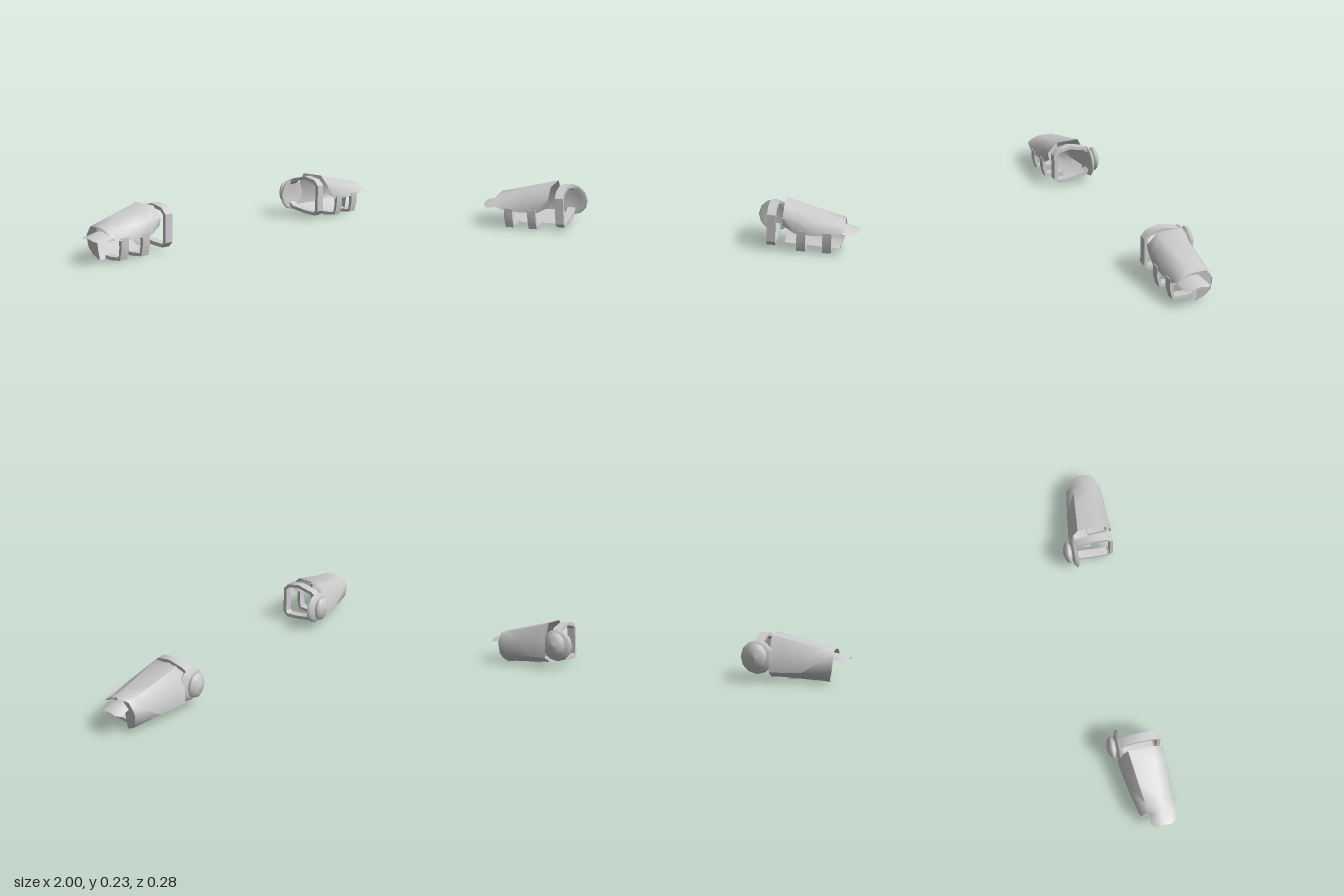
import * as THREE from 'three';
import { toCreasedNormals } from 'three/addons/utils/BufferGeometryUtils.js';

const metal = new THREE.MeshStandardMaterial({ color: 0xcccccc, side: THREE.DoubleSide });
metal.name = 'grey metal';

function part(name, geometry, parent) {
  const mesh = new THREE.Mesh(geometry, metal);
  mesh.name = name;
  parent.add(mesh);
  return mesh;
}

// Sheet through cross-sections: each is { x, pts: [[z, y], ...] }
function loft(sections, crease = 0.9) {
  const pos = [], idx = [], n = sections[0].pts.length;
  for (const s of sections) s.pts.forEach(([z, y], j) => pos.push(s.x + (s.dx ? s.dx[j] : 0), y, z));
  for (let i = 0; i < sections.length - 1; i++)
    for (let j = 0; j < n - 1; j++) {
      const a = i * n + j, b = a + n;
      idx.push(a, b, a + 1, b, b + 1, a + 1);
    }
  const g = new THREE.BufferGeometry();
  g.setAttribute('position', new THREE.Float32BufferAttribute(pos, 3));
  g.setIndex(idx);
  return toCreasedNormals(g, crease);
}

// Flat strap of width w and thickness t following a [z, y] path
function band(path, x, w, t) {
  const p = path.map(([z, y]) => new THREE.Vector2(z, y));
  const side = (k) => p.map((q, i) => {
    const d = p[Math.min(i + 1, p.length - 1)].clone().sub(p[Math.max(i - 1, 0)]).normalize();
    return new THREE.Vector2(q.x - d.y * k, q.y + d.x * k);
  });
  const shape = new THREE.Shape([...side(t / 2), ...side(-t / 2).reverse()]);
  const g = new THREE.ExtrudeGeometry(shape, { depth: w, bevelEnabled: false });
  g.rotateY(-Math.PI / 2);
  g.translate(x + w / 2, 0, 0);
  return toCreasedNormals(g, 0.7);
}

function lathe(points, x, y, scaleY) {
  const g = new THREE.LatheGeometry(points.map(([r, h]) => new THREE.Vector2(r, h)), 12);
  g.rotateX(-Math.PI / 2);
  g.scale(1, scaleY, 1);
  g.translate(x, y, 0);
  return g;
}

function createGauntlet(name) {
  const arm = new THREE.Group();
  arm.name = name;

  // Forearm shell: open at the lower front, tapering to the wrist
  const elbowEnd = [[0.125, 0.14], [0.133, 0.18], [0.08, 0.235], [-0.05, 0.235],
    [-0.098, 0.14], [-0.1, 0.05], [-0.05, 0.022], [0.02, 0.012]];
  const wristEnd = [[0.133, 0.13], [0.1, 0.155], [0.06, 0.166], [-0.015, 0.163],
    [-0.05, 0.115], [-0.045, 0.055], [-0.02, 0.022], [0.02, 0]];
  const mix = (t, drop, bulge) => elbowEnd.map(([z, y], j) => [
    z + (wristEnd[j][0] - z) * t + (j < 2 ? bulge : 0) - (j > 3 && j < 6 ? bulge : 0),
    y + (wristEnd[j][1] - y) * t - (j === 0 ? drop : 0)]);
  part('forearmShell', loft([
    { x: 0.62, pts: mix(0, 0, 0) },
    { x: 0.68, pts: mix(0.2, 0.033, 0.005) },
    { x: 0.78, pts: mix(0.52, 0.034, 0.006) },
    { x: 0.88, pts: mix(0.84, 0.024, 0.004) },
    { x: 0.93, pts: mix(1, 0, 0), dx: [0, 0, 0, 0, 0, -0.005, -0.015, -0.022] },
  ]), arm);

  // Wall closing the rear half of the wrist opening
  const rear = wristEnd.slice(3);
  part('wristWall', loft([
    { x: 0.925, pts: rear, dx: [0, 0, -0.005, -0.012, -0.018] },
    { x: 0.92, pts: rear.map(([, y]) => [0.02, y]), dx: [0, 0, -0.005, -0.012, -0.018] },
  ]), arm);

  // Arched plate over the back of the hand
  part('handPlate', loft([
    { x: 0.915, pts: [[0.125, 0.118], [0.1, 0.135], [0.05, 0.147], [0.015, 0.14], [-0.005, 0.12]] },
    { x: 0.945, pts: [[0.122, 0.112], [0.095, 0.13], [0.05, 0.142], [0.012, 0.134], [-0.008, 0.116]] },
    { x: 0.982, pts: [[0.115, 0.108], [0.09, 0.122], [0.05, 0.132], [0.01, 0.125], [-0.014, 0.11]] },
    { x: 1.0, pts: [[0.088, 0.117], [0.075, 0.121], [0.05, 0.126], [0.025, 0.122], [0.012, 0.117]] },
  ]), arm);

  // Two straps joining the shell edges underneath
  for (const x of [0.715, 0.845])
    part('forearmStrap', band([[0.128, 0.118], [0.128, 0.065], [0.118, 0.016], [0.05, 0.009], [0.015, 0.012]],
      x, 0.045, 0.017), arm);

  // Upper strap looping forward from the elbow guard
  part('elbowStrap', band([[-0.082, 0.185], [-0.055, 0.205], [0.03, 0.225], [0.095, 0.213], [0.118, 0.19],
    [0.118, 0.05], [0.1, 0.032], [0.03, 0.036], [-0.06, 0.05], [-0.085, 0.07]], 0.562, 0.045, 0.018), arm);

  // Elbow guard: dished rim with a dome behind it
  part('elbowRim', lathe([[0, 0.082], [0.05, 0.082], [0.08, 0.072], [0.087, 0.082], [0.07, 0.095],
    [0.035, 0.103], [0, 0.104]], 0.555, 0.122, 1), arm);
  part('elbowDome', lathe([[0.03, 0.095], [0.045, 0.104], [0.059, 0.114], [0.052, 0.127],
    [0.032, 0.139], [0, 0.146]], 0.555, 0.128, 1.18), arm);

  return arm;
}

export function createModel() {
  const model = new THREE.Group();
  model.name = 'pairOfGauntlets';
  const left = createGauntlet('leftGauntlet');
  const right = createGauntlet('rightGauntlet');
  right.scale.x = -1;
  model.add(left, right);
  return model;
}
